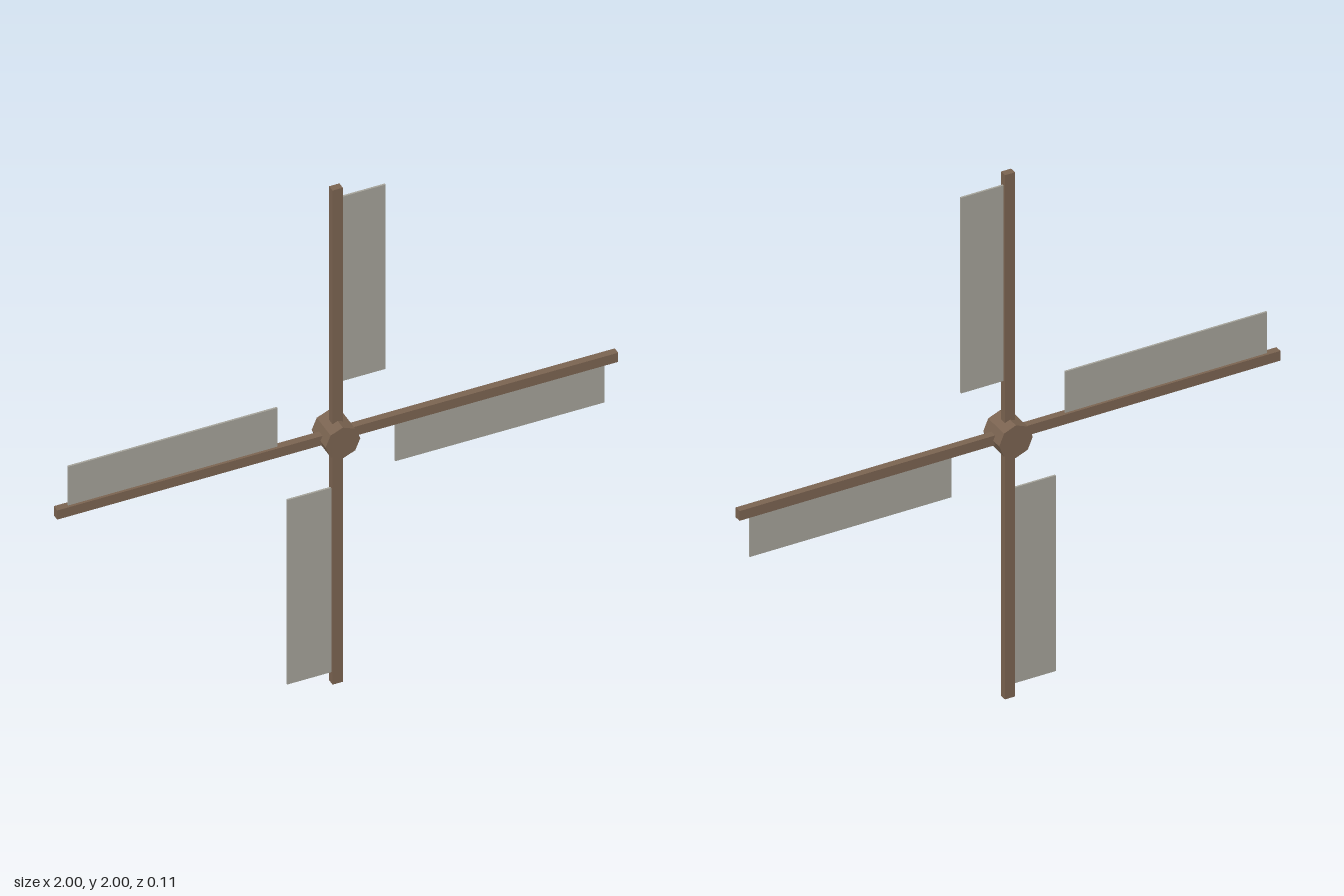
import * as THREE from 'three';

export function createModel() {
  const group = new THREE.Group();
  const wood = new THREE.MeshStandardMaterial({ color: 0x7a6350, flatShading: true });
  const cloth = new THREE.MeshStandardMaterial({ color: 0xa3a198, flatShading: true });

  const add = (parent, name, geometry, material) => {
    const mesh = new THREE.Mesh(geometry, material);
    mesh.name = name;
    parent.add(mesh);
    return mesh;
  };

  // Rotor turns about the z axis through the hub
  const rotor = new THREE.Group();
  rotor.name = 'rotor';
  rotor.position.y = 1;
  group.add(rotor);

  // Eight-sided hub with corners on the arm axes
  add(rotor, 'hub', new THREE.CylinderGeometry(0.062, 0.062, 0.106, 8).rotateX(Math.PI / 2), wood);

  // Four blades, each a square spar with a thin sail on its trailing side
  for (let i = 0; i < 4; i++) {
    const blade = new THREE.Group();
    blade.name = 'blade' + (i + 1);
    blade.rotation.z = -i * Math.PI / 2;
    add(blade, 'spar', new THREE.BoxGeometry(0.037, 1, 0.026), wood).position.y = 0.5;
    add(blade, 'sail', new THREE.BoxGeometry(0.163, 0.746, 0.007), cloth).position.set(0.0935, 0.583, 0);
    rotor.add(blade);
  }
  return group;
}
